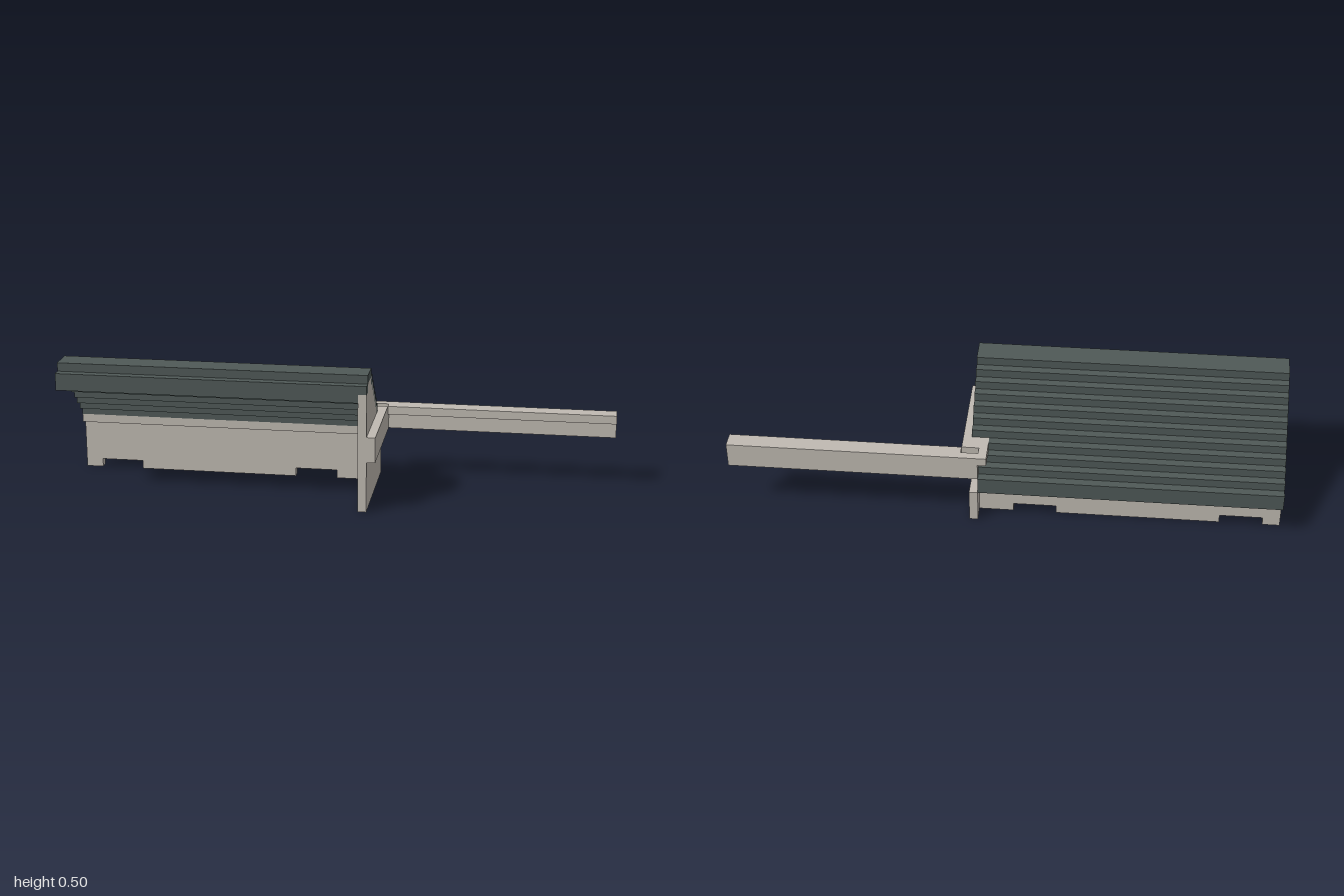
import * as THREE from 'three';

const U = 1 / 32; // one block of the model grid

export function createModel() {
  const model = new THREE.Group();
  const stone = new THREE.MeshStandardMaterial({ color: 0xc0bab2 });
  stone.name = 'paleStone';
  const slate = new THREE.MeshStandardMaterial({ color: 0x4f5957 });
  slate.name = 'darkSlate';

  const add = (name, geometry, material) => {
    const mesh = new THREE.Mesh(geometry, material);
    mesh.name = name;
    model.add(mesh);
  };
  // Box given by its block limits
  const box = (name, x0, x1, y0, y1, z0, z1, material) => {
    const g = new THREE.BoxGeometry((x1 - x0) * U, (y1 - y0) * U, (z1 - z0) * U);
    g.translate((x0 + x1) / 2 * U, (y0 + y1) / 2 * U, (z0 + z1) / 2 * U);
    add(name, g, material);
  };
  // Outline of [z, y] points extruded from x0 to x1
  const alongX = (name, points, x0, x1, material) => {
    const shape = new THREE.Shape(points.map(([z, y]) => new THREE.Vector2(-z * U, y * U)));
    const g = new THREE.ExtrudeGeometry(shape, { depth: (x1 - x0) * U, bevelEnabled: false });
    g.rotateY(Math.PI / 2);
    g.translate(x0 * U, 0, 0);
    add(name, g, material);
  };

  // Stepped roof, two blocks thick; the step under the lintel head can be lowered
  const roofOutline = (headStepTop) => {
    const p = [[7, 13], [7, 15], [6, 15], [6, 16], [3, 16]];
    for (let i = 0; i < 10; i++) {
      const top = i === 6 ? headStepTop : 15 - i;
      if (i === 7 && headStepTop === 8) p.push([-5, top]);
      else if (i === 6 && headStepTop === 8) p.push([-3, top]);
      else p.push([3 - i, top], [2 - i, top]);
    }
    for (let i = 9; i >= 0; i--) p.push([2 - i, 13 - i], [3 - i, 13 - i]);
    p.push([3, 14], [6, 14], [6, 13]);
    return p;
  };
  alongX('roof', roofOutline(9), -32, 2, slate);
  alongX('roofNextToGable', roofOutline(8), 2, 3, slate);

  // Thin roof edge resting on the gable
  box('ridgeEdge', 3, 4, 15, 16, 3, 6, slate);
  box('eaveEdge', 3, 4, 14, 15, 6, 7, slate);
  for (let i = 0; i < 6; i++) box('roofStepEdge', 3, 4, 14 - i, 15 - i, 2 - i, 3 - i, slate);

  // Gable wall with a notch at the rear
  const gable = [[7, 0], [7, 14], [6, 14], [6, 15], [3, 15]];
  for (let i = 0; i < 6; i++) gable.push([3 - i, 14 - i], [2 - i, 14 - i]);
  gable.push([-3, 8], [-7, 8], [-7, 6], [-4, 6], [-4, 4], [-7, 4], [-7, 0]);
  alongX('gableWall', gable, 3, 4, stone);

  // Projecting belt across the gable
  alongX('gableBelt', [[7, 6], [7, 9], [-3, 9], [-3, 8], [-7, 8], [-7, 6]], 4, 5, stone);

  // Beam head around a small socket
  box('beamHeadInner', 2, 3, 8, 9, -7, -3, stone);
  box('beamHeadFront', 3, 5, 8, 9, -5, -3, stone);
  box('beamHeadRear', 3, 5, 8, 9, -7, -6, stone);

  // Long beam with an L section
  alongX('longBeam', [[-5, 8], [-5, 9], [-7, 9], [-7, 6], [-6, 6], [-6, 8]], 5, 32, stone);

  // Rear wall with two openings at its foot and a cut at the gable
  const wall = [[-32, 0], [-30, 0], [-30, 1], [-25, 1], [-25, 0], [-6, 0], [-6, 1], [-1, 1],
    [-1, 0], [3, 0], [3, 4], [2, 4], [2, 6], [-32, 6]];
  const wallGeometry = new THREE.ExtrudeGeometry(
    new THREE.Shape(wall.map(([x, y]) => new THREE.Vector2(x * U, y * U))),
    { depth: U, bevelEnabled: false });
  wallGeometry.translate(0, 0, -5 * U);
  add('rearWall', wallGeometry, stone);
  box('wallPlate', -32, 3, 6, 7, -4, -3, stone);

  return model;
}
